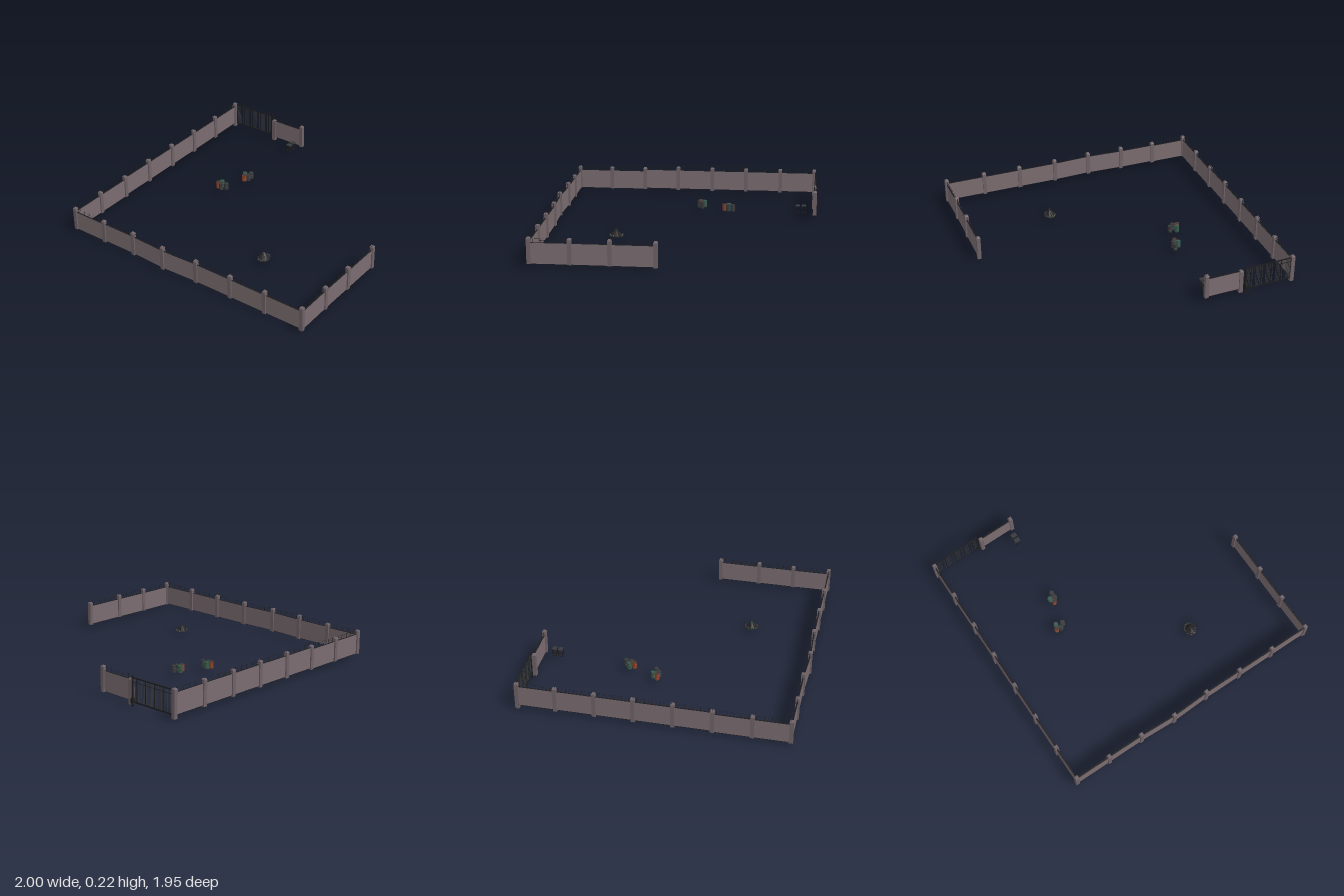
import * as THREE from 'three';

const mat = (name, color) => {
  const m = new THREE.MeshStandardMaterial({ color });
  m.name = name;
  return m;
};

export function createModel() {
  const root = new THREE.Group();
  root.name = 'walledYard';
  const wallMat = mat('mauveConcrete', 0x7a6c70);
  const postMat = mat('greyConcrete', 0x6e6266);
  const ironMat = mat('blackIron', 0x1d1d1f);
  const darkMat = mat('darkSteel', 0x37393a);
  const orangeMat = mat('rustOrange', 0x86402a);
  const greenMat = mat('dullGreen', 0x33584a);
  const woodMat = mat('charredWood', 0x2a2727);

  let seed = 7;
  const rnd = () => (seed = (seed * 16807) % 2147483647) / 2147483647;

  const add = (parent, name, geo, material, x = 0, y = 0, z = 0) => {
    const m = new THREE.Mesh(geo, material);
    m.name = name;
    m.position.set(x, y, z);
    parent.add(m);
    return m;
  };
  const box = (parent, name, w, h, d, material, x, y, z) =>
    add(parent, name, new THREE.BoxGeometry(w, h, d), material, x, y, z);
  const group = (name, x = 0, y = 0, z = 0) => {
    const g = new THREE.Group();
    g.name = name;
    g.position.set(x, y, z);
    root.add(g);
    return g;
  };
  // group whose local x axis runs from one ground point to another
  const span = (name, x0, z0, x1, z1) => {
    const g = group(name, (x0 + x1) / 2, 0, (z0 + z1) / 2);
    g.rotation.y = -Math.atan2(z1 - z0, x1 - x0);
    return [g, Math.hypot(x1 - x0, z1 - z0)];
  };

  // square post with a bevelled head
  const post = ([x, z, y0, y1]) => {
    const g = group('wallPost', x, 0, z);
    const bevel = 0.008;
    box(g, 'postShaft', 0.028, y1 - y0 - bevel, 0.028, postMat, 0, (y0 + y1 - bevel) / 2, 0);
    const head = new THREE.CylinderGeometry(0.014, 0.0205, bevel, 4).toNonIndexed();
    head.rotateY(Math.PI / 4);
    head.computeVertexNormals();
    add(g, 'postHead', head, postMat, 0, y1 - bevel / 2, 0);
  };

  // wall panel with dark edges and barbed wire
  const wall = (a, b, y0, y1) => {
    const [g, len] = span('wallSection', a[0], a[1], b[0], b[1]);
    box(g, 'wallPanel', len, y1 - y0 - 0.004, 0.008, wallMat, 0, (y0 + y1) / 2, 0);
    box(g, 'topEdge', len, 0.002, 0.009, ironMat, 0, y1 - 0.001, 0);
    box(g, 'bottomEdge', len, 0.002, 0.009, ironMat, 0, y0 + 0.001, 0);
    const stakes = 5;
    for (let i = 0; i < stakes; i++) {
      const x = ((i + 0.5) / stakes - 0.5) * len;
      const s = box(g, 'wireStake', 0.002, 0.036, 0.002, ironMat, x, y1 + 0.015, 0);
      s.rotation.z = (rnd() - 0.5) * 0.3;
    }
    const wire = new THREE.CylinderGeometry(0.0005, 0.0005, len, 4);
    wire.rotateZ(Math.PI / 2);
    for (const h of [0.017, 0.03]) add(g, 'wire', wire, ironMat, 0, y1 + h, 0);
    for (let x = -len / 2 + 0.02; x < len / 2; x += 0.025) {
      const barb = box(g, 'barb', 0.001, 0.006, 0.001, ironMat, x, y1 + 0.03, 0);
      barb.rotation.z = (rnd() - 0.5) * 2;
    }
  };

  // posts: x, z, bottom, top
  const side = [-0.945, -0.675, -0.4, -0.13, 0.145, 0.415, 0.685, 0.945].map((z, i) =>
    [-0.986, z, i === 0 ? 0.006 : 0.022, i > 4 ? 0.2 : 0.212]);
  const front = [side[7], [-0.715, 0.945, 0.018, 0.196], [-0.443, 0.945, 0.02, 0.205],
    [-0.169, 0.957, 0.02, 0.203], [0.115, 0.945, 0.022, 0.203], [0.405, 0.945, 0.022, 0.203],
    [0.69, 0.945, 0.022, 0.203], [0.986, 0.945, 0.018, 0.203]];
  const rightSide = [front[7], [0.982, 0.67, 0.018, 0.2], [0.982, 0.4, 0.018, 0.2], [0.982, 0.093, 0.015, 0.196]];
  const back = [[-0.59, -0.947, 0.006, 0.185], [-0.328, -0.952, 0.03, 0.213]];
  [...side, ...front.slice(1), ...rightSide.slice(1), ...back].forEach(post);

  // wall runs between neighbouring posts
  const run = (posts, heights) => {
    for (let i = 0; i + 1 < posts.length; i++) wall(posts[i], posts[i + 1], ...heights(i));
  };
  run(side, i => (i < 5 ? [0.03, 0.183] : [0.022, 0.17]));
  run(front, i => (i < 1 ? [0.02, 0.166] : [0.025, 0.17]));
  run(rightSide, () => [0.017, 0.166]);
  run(back, () => [0.033, 0.18]);

  // barred gate in the back wall
  const [gate, gl] = span('gate', -0.972, -0.952, -0.62, -0.963);
  for (const [y, h] of [[0.2, 0.008], [0.17, 0.003], [0.034, 0.01]])
    box(gate, 'gateRail', gl, h, 0.005, ironMat, 0, y, 0);
  const bars = 36;
  for (let i = 0; i <= bars; i++) {
    if (i % 8 === 5 || i % 8 === 6) continue;
    const thick = i % 8 === 0;
    box(gate, 'gateBar', thick ? 0.006 : 0.003, 0.17, 0.003, thick ? ironMat : darkMat,
      (i / bars - 0.5) * gl, 0.116, 0);
  }
  box(gate, 'gatePost', 0.012, 0.215, 0.01, ironMat, gl / 2, 0.1075, 0);
  box(gate, 'gateMotor', 0.022, 0.035, 0.022, ironMat, gl / 2 - 0.008, 0.045, -0.008);

  // ribbed barrels
  const barrelProfile = [[0, 0], [0.0165, 0], [0.0165, 0.016], [0.0178, 0.017], [0.0165, 0.018],
    [0.0165, 0.032], [0.0178, 0.033], [0.0165, 0.034], [0.0165, 0.05], [0.015, 0.05], [0.015, 0.048],
    [0, 0.048]].map(p => new THREE.Vector2(...p));
  const barrelGeo = new THREE.LatheGeometry(barrelProfile, 14).toNonIndexed();
  barrelGeo.computeVertexNormals();
  const barrels = [
    [-0.49, -0.08, orangeMat], [-0.457, -0.073, darkMat], [-0.428, -0.097, darkMat], [-0.476, -0.11, greenMat],
    [-0.368, -0.333, darkMat], [-0.368, -0.297, darkMat], [-0.388, -0.27, orangeMat], [-0.404, -0.303, greenMat]];
  for (const [x, z, m] of barrels) {
    const g = group('barrel', x, 0.03, z);
    add(g, 'barrelBody', barrelGeo, m);
    const lid = new THREE.CylinderGeometry(0.0152, 0.0152, 0.001, 14);
    add(g, 'barrelLid', lid, m === greenMat ? greenMat : darkMat, 0, 0.0488, 0);
  }

  // two open metal frames with padded tops
  for (const z of [-0.87, -0.825]) {
    const g = group('stand', -0.358, 0, z);
    for (const x of [-0.01, 0.01]) {
      const pad = new THREE.CylinderGeometry(0.0125, 0.0125, 0.032, 8);
      pad.rotateX(Math.PI / 2);
      pad.scale(1, 0.35, 1);
      add(g, 'standPad', pad, darkMat, x, 0.091, 0);
      for (const s of [-1, 1]) box(g, 'standLeg', 0.005, 0.054, 0.005, ironMat, x * 1.5, 0.062, s * 0.014);
      box(g, 'standFoot', 0.004, 0.004, 0.03, ironMat, x * 1.5, 0.038, 0);
    }
    for (const s of [-1, 1]) box(g, 'standRail', 0.034, 0.004, 0.004, ironMat, 0, 0.05, s * 0.014);
  }

  // heap of burnt timber and stones
  const heap = group('timberHeap', 0.325, 0.02, 0.455);
  for (let i = 0; i < 14; i++) {
    const a = i * 2.4;
    const lean = group('timber');
    heap.add(lean);
    lean.rotation.y = a;
    const log = box(lean, 'log', 0.009, 0.062, 0.009, i % 3 ? woodMat : ironMat, 0.02, 0.028, 0);
    log.rotation.z = 0.55 + rnd() * 0.35;
  }
  for (let i = 0; i < 16; i++) {
    const a = (i / 16) * Math.PI * 2;
    const rock = add(heap, 'stone', new THREE.IcosahedronGeometry(0.008 + rnd() * 0.004, 0),
      i % 2 ? darkMat : woodMat, Math.cos(a) * 0.036, 0.009, Math.sin(a) * 0.045);
    rock.rotation.set(rnd() * 3, rnd() * 3, 0);
  }
  add(heap, 'ashMound', new THREE.ConeGeometry(0.035, 0.03, 9), woodMat, 0, 0.018, 0);

  return root;
}
